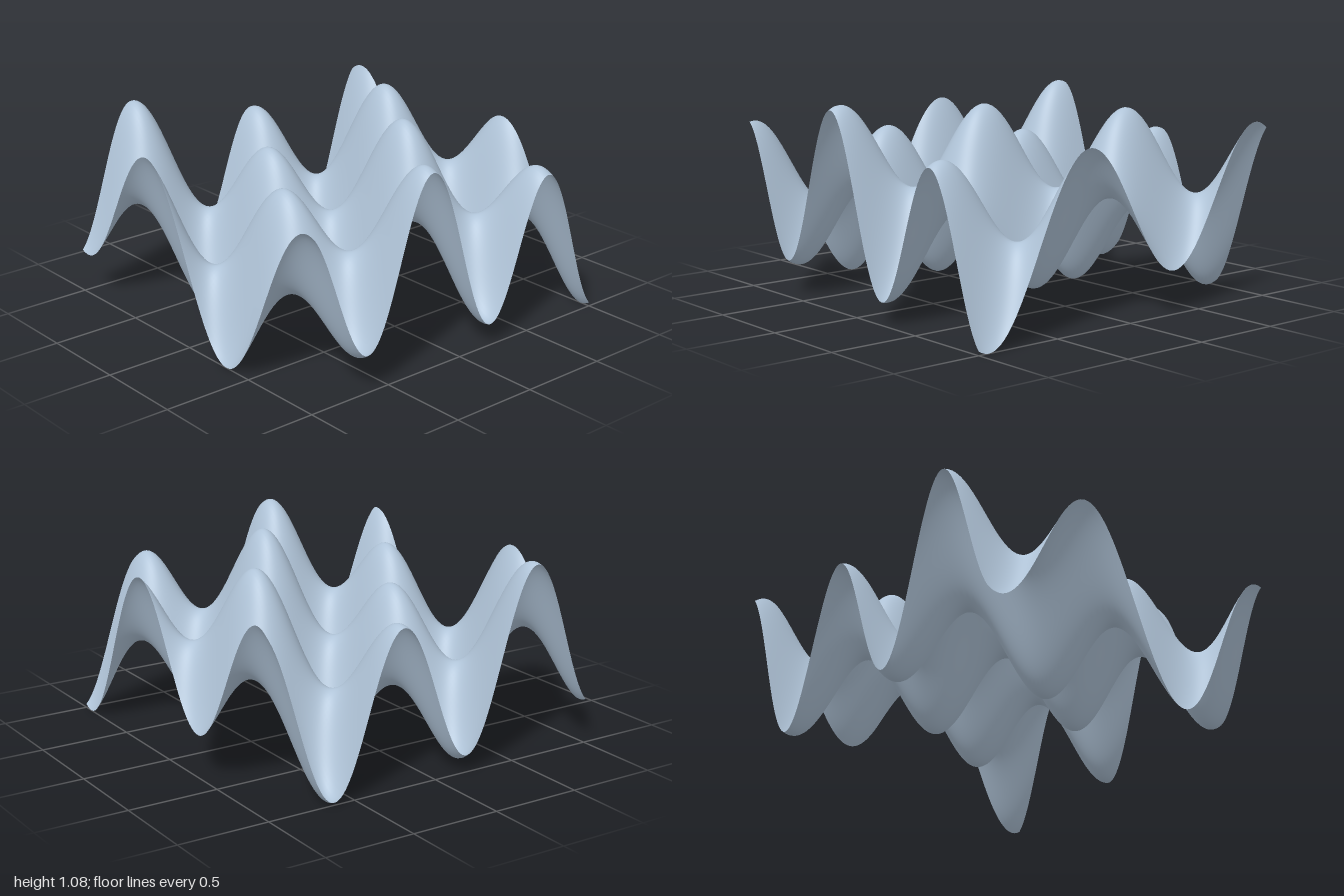
import * as THREE from 'three';

// Height of the rippled surface: a standing wave plus a gentle diagonal swell
function height(x, z) {
  const ripple = -0.44 * Math.sin(5 * x) * Math.sin(7.5 * z);
  const swell = 0.118 * Math.sin(2.5 * (x - z));
  return ripple + swell;
}

export function createModel() {
  const model = new THREE.Group();
  model.name = 'waveSurface';

  const paleBlue = new THREE.MeshStandardMaterial({ color: 0xb0c4d8, side: THREE.DoubleSide });
  paleBlue.name = 'pale blue';

  // Flat grid lifted by the wave rule
  const geometry = new THREE.PlaneGeometry(2, 2, 140, 140).rotateX(-Math.PI / 2);
  const position = geometry.attributes.position;
  for (let i = 0; i < position.count; i++) {
    position.setY(i, height(position.getX(i), position.getZ(i)));
  }

  // Rest the lowest trough on the ground
  geometry.computeBoundingBox();
  geometry.translate(0, -geometry.boundingBox.min.y, 0);
  geometry.computeVertexNormals();

  const sheet = new THREE.Mesh(geometry, paleBlue);
  sheet.name = 'rippledSheet';
  model.add(sheet);
  return model;
}
